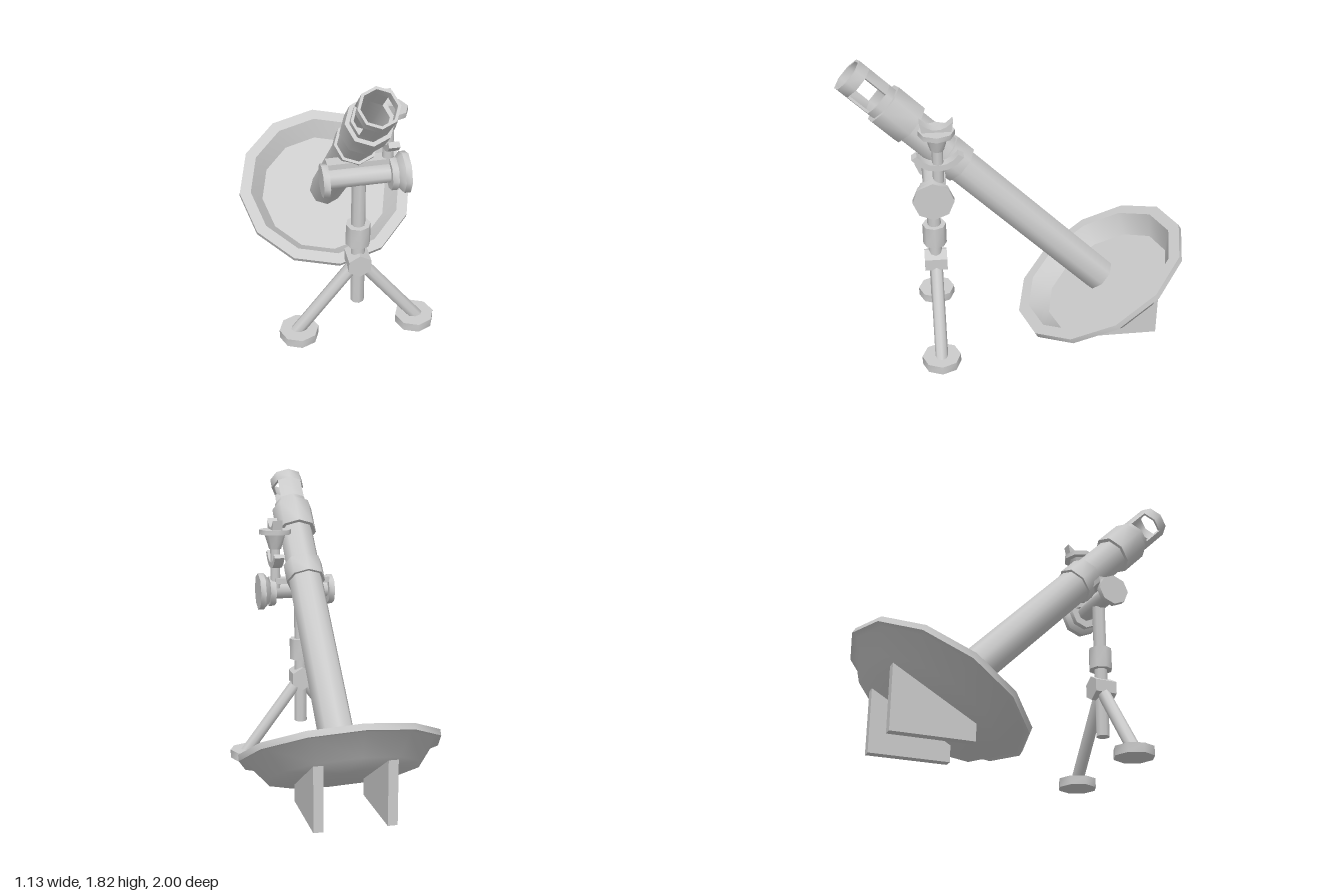
import * as THREE from 'three';
import { toCreasedNormals } from 'three/addons/utils/BufferGeometryUtils.js';

const material = new THREE.MeshStandardMaterial({ color: 0xcccccc });
const UP = new THREE.Vector3(0, 1, 0);
const RAD = Math.PI / 180;

function part(name, geometry) {
  const mesh = new THREE.Mesh(toCreasedNormals(geometry, 0.9), material);
  mesh.name = name;
  return mesh;
}

// Cylinder or cone running from point a (radius ra) to point b (radius rb)
function rod(name, a, b, ra, rb = ra, sides = 8) {
  const from = new THREE.Vector3(...a), to = new THREE.Vector3(...b);
  const dir = to.clone().sub(from);
  const mesh = part(name, new THREE.CylinderGeometry(rb, ra, dir.length(), sides));
  mesh.position.copy(from).add(to).multiplyScalar(0.5);
  mesh.quaternion.setFromUnitVectors(UP, dir.normalize());
  return mesh;
}

function lathe(name, profile, sides) {
  return part(name, new THREE.LatheGeometry(profile.map(p => new THREE.Vector2(...p)), sides));
}

function extrude(points, depth) {
  const shape = new THREE.Shape(points.map(p => new THREE.Vector2(...p)));
  return new THREE.ExtrudeGeometry(shape, { depth, bevelEnabled: false });
}

// Outline of a curved band between two radii
function band(inner, outer, start, end, steps) {
  const arc = r => Array.from({ length: steps + 1 }, (_, i) => {
    const t = (start + (end - start) * i / steps) * RAD;
    return [r * Math.cos(t), r * Math.sin(t)];
  });
  return [...arc(outer), ...arc(inner).reverse()];
}

function makeBarrel() {
  const g = new THREE.Group();
  g.name = 'barrel';
  const L = 2.018, R = 0.105, r = 0.09;
  const slotLow = L - 0.21, slotHigh = L - 0.068;
  g.add(lathe('barrelTube', [[0, 0], [R, 0], [R, slotLow], [r, slotLow], [r, L - 0.7], [0, L - 0.7]], 8));
  // Muzzle ring carried by two strips, leaving an open slot on each side
  g.add(lathe('muzzleRing', [[r, slotHigh], [R, slotHigh], [R, L], [r, L], [r, slotHigh]], 8));
  for (const mid of [90, 270]) {
    const strip = extrude(band(r, R, mid - 45, mid + 45, 2), slotHigh - slotLow);
    strip.rotateX(-Math.PI / 2).translate(0, slotLow, 0);
    g.add(part('muzzleStrip', strip));
  }
  // Collars around the tube
  for (const [name, low, high, radius] of [['muzzleCollar', L - 0.445, L - 0.255, 0.128], ['clampCollar', L - 0.825, L - 0.7, 0.121]]) {
    g.add(lathe(name, [[R - 0.01, low], [radius, low], [radius, high], [R - 0.01, high]], 8));
  }
  g.position.set(0, 0.315, -0.5);
  g.rotation.x = 45 * RAD;
  return g;
}

function makeBase() {
  const g = new THREE.Group();
  g.name = 'base';
  // Tilted twelve-sided dish
  const dish = lathe('baseDish', [[0, -0.149], [0.434, -0.149], [0.53, -0.035], [0.567, -0.035],
    [0.567, 0], [0.495, 0], [0.415, -0.12], [0, -0.12]], 12);
  dish.position.set(0, 0.36, -0.49);
  dish.rotation.x = 30 * RAD;
  g.add(dish);
  // Two upright fins below the dish, their tops following its slope
  for (const x of [-0.203, 0.203]) {
    const fin = extrude([[0.36, 0.016], [0.825, 0.016], [0.825, 0.395], [0.36, 0.127]], 0.055);
    fin.rotateY(Math.PI / 2).translate(x - 0.0275, 0, 0);
    g.add(part('baseFin', fin));
  }
  return g;
}

function makeBipod() {
  const g = new THREE.Group();
  g.name = 'bipod';
  const z = 0.505;
  g.add(rod('centerPost', [0, 0.22, z], [0, 1.06, z], 0.04));
  g.add(rod('postSleeve', [0, 0.632, z], [0, 0.764, z], 0.07));
  g.add(rod('legHub', [0, 0.51, z - 0.067], [0, 0.51, z + 0.067], 0.073, 0.073, 6));
  for (const s of [-1, 1]) {
    g.add(rod('leg', [0, 0.51, z], [s * 0.365, 0.028, z], 0.038));
    g.add(rod('foot', [s * 0.347, 0, z], [s * 0.347, 0.053, z], 0.115));
    g.add(rod('crossbarFlange', [s * 0.168, 1.075, z], [s * 0.204, 1.075, z], 0.094));
  }
  // Crossbar with a slim rail above it
  g.add(rod('crossbar', [-0.18, 1.08, z], [0.18, 1.08, z], 0.054));
  const rail = part('crossbarRail', new THREE.BoxGeometry(0.34, 0.035, 0.07));
  rail.position.set(0, 1.147, 0.465);
  g.add(rail);
  // Hand wheel on the left end
  g.add(rod('wheelTaper', [0.2, 1.075, z], [0.236, 1.075, z], 0.075, 0.116));
  g.add(rod('handWheel', [0.236, 1.075, z], [0.27, 1.075, z], 0.116));
  return g;
}

function makeSight() {
  const g = new THREE.Group();
  g.name = 'sight';
  g.add(rod('sightPost', [0, 1.1, 0], [0, 1.36, 0], 0.031));
  g.add(rod('sightCup', [0, 1.345, 0], [0, 1.44, 0], 0.038, 0.067));
  g.add(rod('sightDisk', [0, 1.437, 0], [0, 1.466, 0], 0.101));
  // Curved cradle around the post
  const cradle = extrude(band(0.135, 0.17, 212, 328, 6), 0.06);
  cradle.rotateY(Math.PI / 2).translate(-0.03, 1.395, 0);
  g.add(part('sightCradle', cradle));
  // Notched piece on top of the disk
  const notch = [[-0.08, 1.463], [0.08, 1.463], [0.092, 1.527], [0.055, 1.495], [0.02, 1.48],
    [-0.02, 1.48], [-0.055, 1.495], [-0.092, 1.527]];
  const rest = extrude(notch, 0.06);
  rest.rotateY(Math.PI / 2).translate(-0.03, 0, 0);
  g.add(part('sightNotch', rest));
  g.position.set(0.166, 0, 0.47);
  return g;
}

export function createModel() {
  const model = new THREE.Group();
  model.name = 'mortar';
  model.add(makeBarrel(), makeBase(), makeBipod(), makeSight());
  return model;
}
